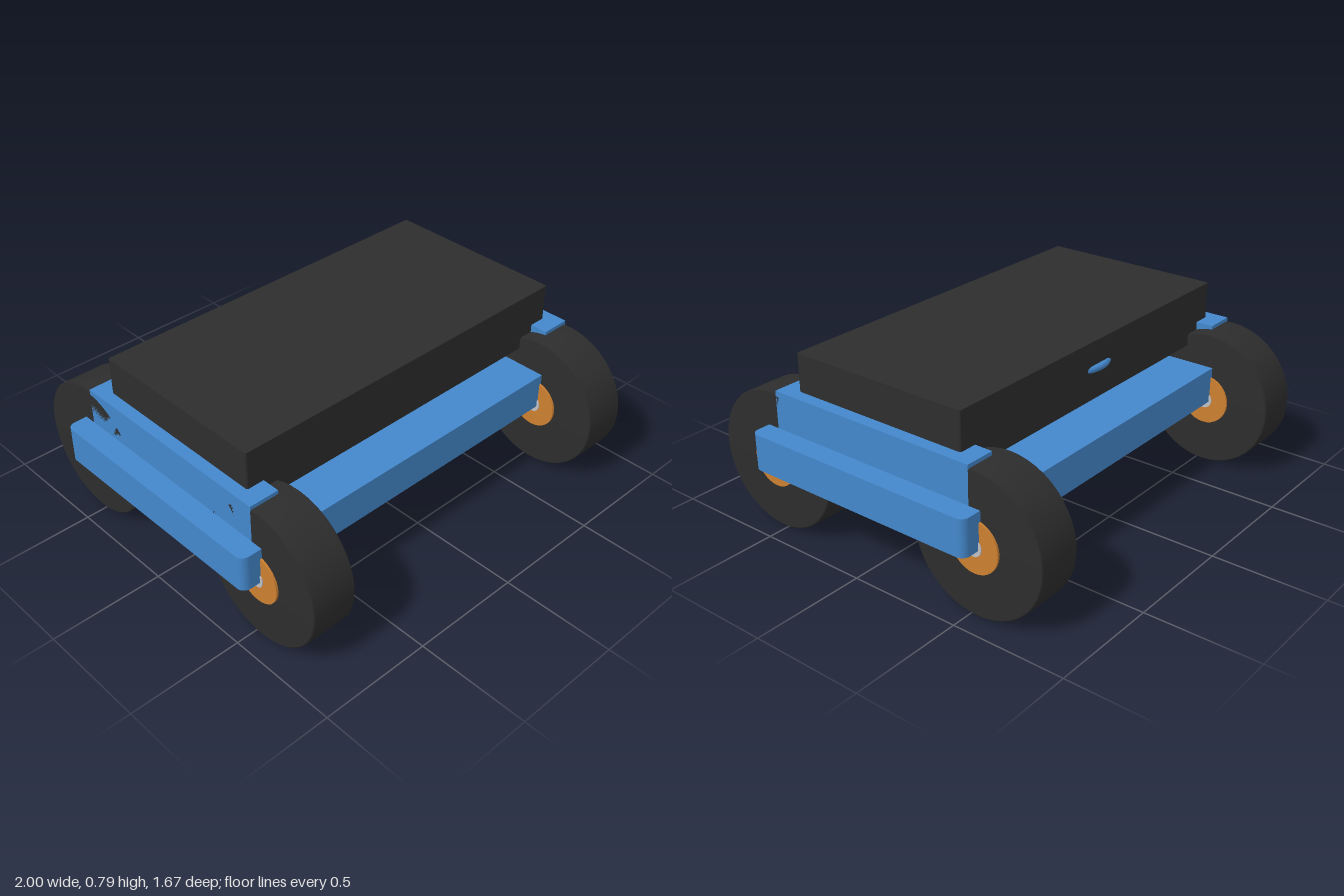
import * as THREE from 'three';

const mat = (name, color) => {
  const m = new THREE.MeshStandardMaterial({ color });
  m.name = name;
  return m;
};

export function createModel() {
  const group = new THREE.Group();
  const blue = mat('blue', 0x4488cc);
  const black = mat('black', 0x2d2d2d);
  const orange = mat('orange', 0xcc8030);
  const silver = mat('silver', 0xc0c0c4);
  const green = mat('green', 0x508452);

  const add = (name, geo, material, x = 0, y = 0, z = 0, parent = group) => {
    const m = new THREE.Mesh(geo, material);
    m.name = name;
    m.position.set(x, y, z);
    parent.add(m);
    return m;
  };

  // Slab with rounded vertical corners, standing on y = 0
  const slab = (w, h, d, r) => {
    const s = new THREE.Shape();
    const a = w / 2 - r, b = d / 2 - r;
    s.absarc(a, b, r, 0, Math.PI / 2);
    s.absarc(-a, b, r, Math.PI / 2, Math.PI);
    s.absarc(-a, -b, r, Math.PI, Math.PI * 1.5);
    s.absarc(a, -b, r, Math.PI * 1.5, Math.PI * 2);
    const g = new THREE.ExtrudeGeometry(s, { depth: h, bevelEnabled: false, curveSegments: 5 });
    return g.rotateX(-Math.PI / 2);
  };

  // Cylinder lying along x
  const rod = (r, len, seg) => new THREE.CylinderGeometry(r, r, len, seg).rotateZ(Math.PI / 2);

  // Chassis, top box and side rails
  add('chassis', slab(2, 0.16, 1.11, 0.035), blue, 0, 0.3, 0);
  add('topBox', slab(1.7, 0.255, 0.84, 0.008), black, 0, 0.535, 0);
  for (const s of [-1, 1]) {
    add(s > 0 ? 'leftRail' : 'rightRail', new THREE.BoxGeometry(0.135, 0.175, 1), blue, s * 0.8375, 0.5375, 0);
  }

  // Motor under the chassis and circuit board under the box
  add('motor', rod(0.13, 1.055, 32), silver, -0.0025, 0.345, 0);
  add('circuitBoard', new THREE.BoxGeometry(0.41, 0.05, 0.3), green, 0.175, 0.51, 0);

  // Ring that peeks out of the back of the box
  add('backRing', new THREE.TorusGeometry(0.155, 0.016, 10, 40).rotateX(Math.PI / 2), blue, -0.01, 0.67, -0.27);

  // Tyre profile with slightly broken edges
  const tyreProfile = [[0, -0.103], [0.298, -0.103], [0.305, -0.096], [0.305, 0.096], [0.298, 0.103], [0, 0.103]]
    .map(([r, y]) => new THREE.Vector2(r, y));
  const tyre = new THREE.LatheGeometry(tyreProfile, 48).rotateZ(Math.PI / 2);
  const hub = rod(0.112, 0.226, 32);
  const axle = rod(0.038, 0.236, 20);
  for (const sx of [-1, 1]) {
    for (const sz of [-1, 1]) {
      const wheel = new THREE.Group();
      wheel.name = (sz > 0 ? 'front' : 'back') + (sx > 0 ? 'Left' : 'Right') + 'Wheel';
      wheel.position.set(sx * 0.802, 0.305, sz * 0.53);
      add('tyre', tyre, black, 0, 0, 0, wheel);
      add('hub', hub, orange, 0, 0, 0, wheel);
      add('axle', axle, silver, 0, 0, 0, wheel);
      group.add(wheel);
    }
  }
  return group;
}
